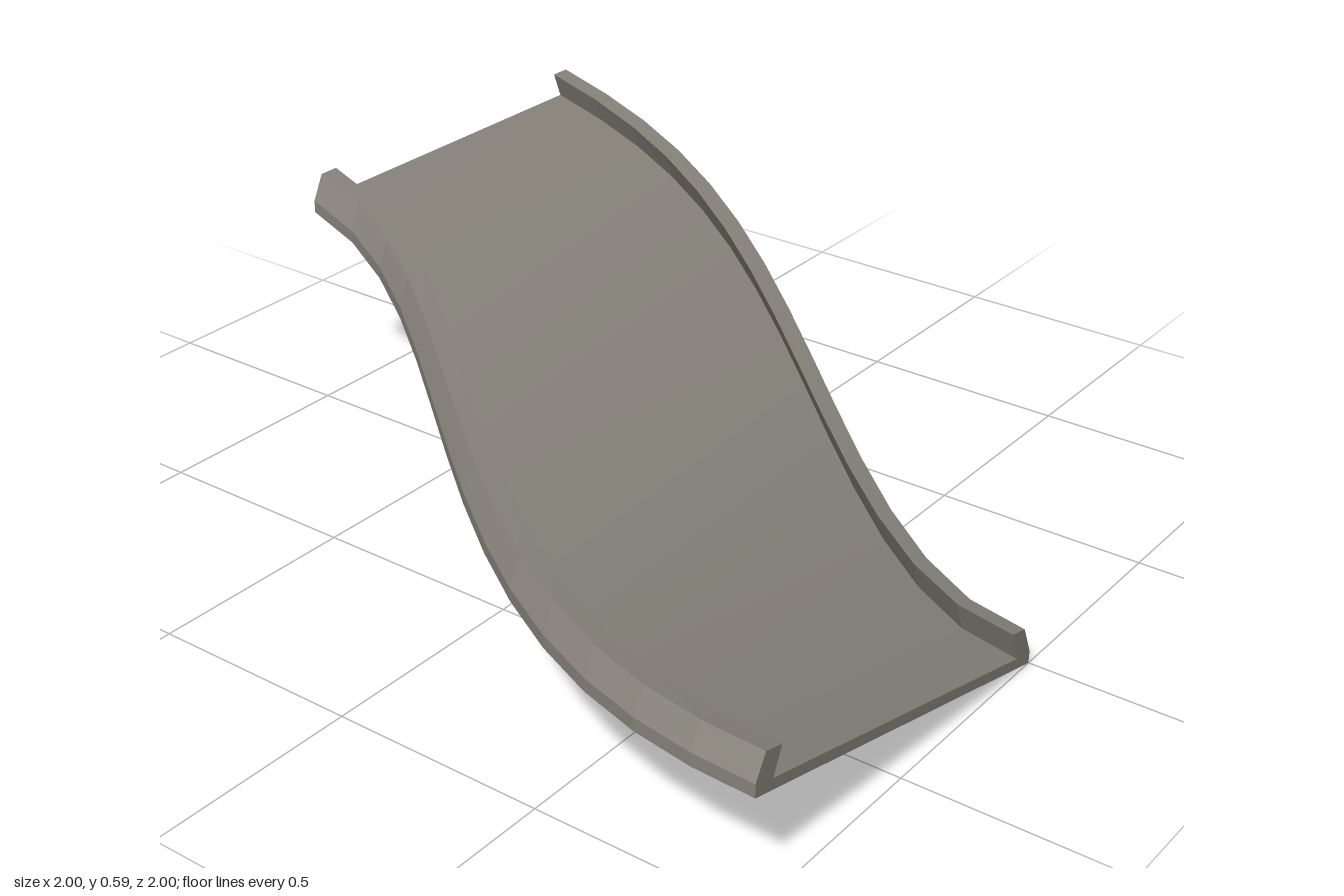
import * as THREE from 'three';

const SEGMENTS = 14;

// Point on the ramp: f runs 0..1 from the right-hand edge to the left (+x) edge,
// h is the height above the underside, u runs 0..1 from front to back.
function place(f, h, u) {
  const slope = 3 * u * (1 - u);
  const centre = -0.5 + u * u * (3 - 2 * u);
  const width = Math.sqrt(1 + 0.9 * slope * slope);
  const highEdge = 0.255 + 0.25 * u * u;
  const lowEdge = 0.005 + 0.5 * (u - u * (1 - u) ** 3);
  return [
    centre + (f - 0.5) * width,
    highEdge + (lowEdge - highEdge) * f + h,
    1 - 2 * u,
  ];
}

// Sweep a clockwise convex section along the bend; only the listed edges get walls.
function sweep(section, edges) {
  const pos = [];
  const n = section.length;
  const tri = (...pts) => pts.forEach((p) => pos.push(...p));
  const at = (i, k) => place(...section[i % n], k / SEGMENTS);
  for (let k = 0; k < SEGMENTS; k++) {
    for (const i of edges) {
      const a = at(i, k), b = at(i + 1, k), c = at(i + 1, k + 1), d = at(i, k + 1);
      tri(a, b, c);
      tri(a, c, d);
    }
  }
  // End caps
  for (let i = 1; i < n - 1; i++) {
    tri(at(0, 0), at(i + 1, 0), at(i, 0));
    tri(at(0, SEGMENTS), at(i, SEGMENTS), at(i + 1, SEGMENTS));
  }
  const geometry = new THREE.BufferGeometry();
  geometry.setAttribute('position', new THREE.Float32BufferAttribute(pos, 3));
  geometry.computeVertexNormals();
  return geometry;
}

export function createModel() {
  const group = new THREE.Group();
  group.name = 'curvedRamp';
  const concrete = new THREE.MeshStandardMaterial({ color: 0x87837b, flatShading: true });
  concrete.name = 'concrete grey';

  const add = (name, section, edges) => {
    const mesh = new THREE.Mesh(sweep(section, edges), concrete);
    mesh.name = name;
    group.add(mesh);
  };

  // Road slab: top and underside
  add('roadDeck', [[0.055, 0.025], [0.945, 0.025], [1, 0], [0, 0]], [0, 2]);

  // Kerb rails, mirrored across the road
  const rail = [[0, 0], [0, 0.03], [0.03, 0.09], [0.08, 0.09], [0.055, 0.025]];
  add('rightRail', rail, [0, 1, 2, 3]);
  add('leftRail', rail.map(([f, h]) => [1 - f, h]).reverse(), [0, 1, 2, 3]);

  return group;
}
